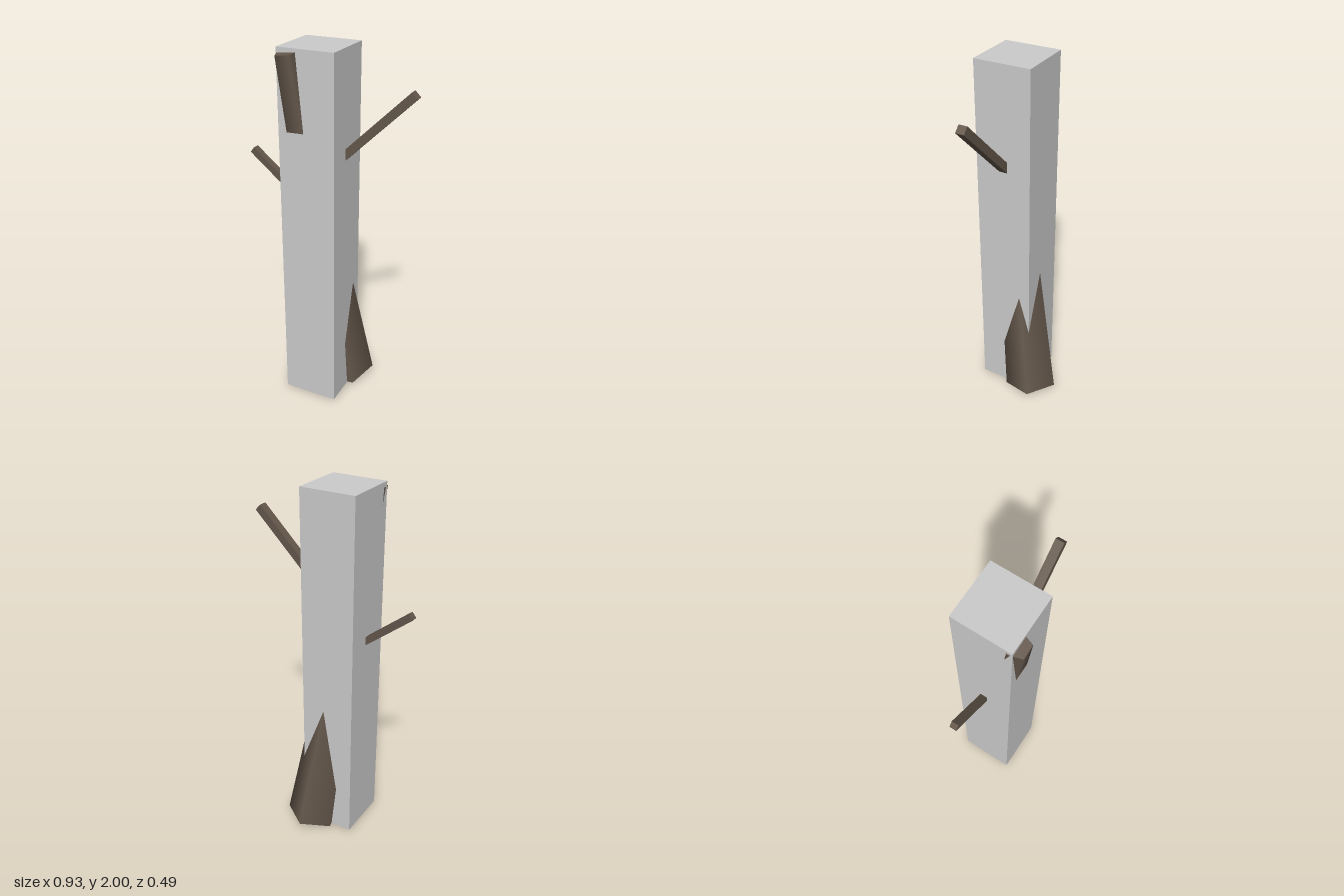
import * as THREE from 'three';

export function createModel() {
  const model = new THREE.Group();
  const grey = new THREE.MeshStandardMaterial({ color: 0xcccccc });
  grey.name = 'pale grey';
  const bark = new THREE.MeshStandardMaterial({ color: 0x64574b });
  bark.name = 'bark brown';
  const up = new THREE.Vector3(0, 1, 0);

  function add(name, geometry, material) {
    const mesh = new THREE.Mesh(geometry, material);
    mesh.name = name;
    model.add(mesh);
    return mesh;
  }

  // Square post around the trunk
  add('post', new THREE.BoxGeometry(0.305, 1.985, 0.305), grey)
    .position.set(-0.0545, 1.0075, 0.0485);

  // Leaning, tapered five-sided trunk that pokes out at the foot and the top
  const foot = new THREE.Vector3(0.045, 0.031, -0.098);
  const crown = new THREE.Vector3(-0.154, 1.978, 0.195);
  const axis = crown.clone().sub(foot);
  const trunkGeometry = new THREE.CylinderGeometry(0.061, 0.153, axis.length(), 5);
  trunkGeometry.rotateY(Math.PI);
  const trunk = add('trunk', trunkGeometry, bark);
  trunk.position.copy(foot).add(crown).multiplyScalar(0.5);
  trunk.quaternion.setFromUnitVectors(up, axis.normalize());

  // Square branches running from inside the post to their tips
  function branch(name, from, to, thickness, depth) {
    const a = new THREE.Vector2(...from);
    const b = new THREE.Vector2(...to);
    const d = b.clone().sub(a);
    const mesh = add(name, new THREE.BoxGeometry(d.length(), thickness, depth), bark);
    mesh.position.set((a.x + b.x) / 2, (a.y + b.y) / 2, 0.0485);
    mesh.rotation.z = Math.atan2(d.y, d.x);
  }
  branch('leftBranch', [0, 1.372], [0.447, 1.812], 0.043, 0.046);
  branch('rightBranch', [-0.1, 1.12], [-0.455, 1.406], 0.036, 0.038);

  return model;
}
